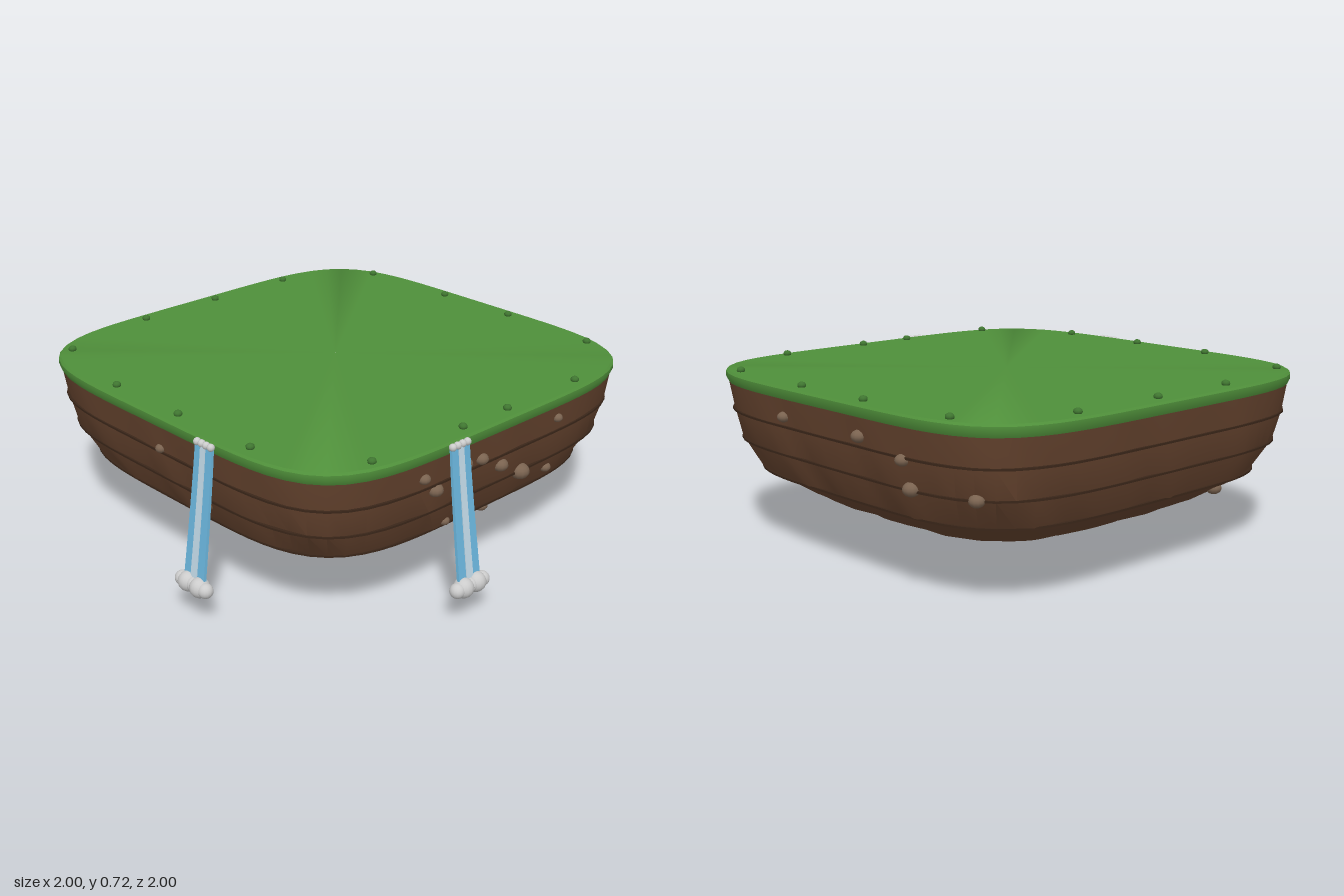
import * as THREE from 'three';
import { toCreasedNormals } from 'three/addons/utils/BufferGeometryUtils.js';

const CENTRE = -0.065; // the island's middle on both x and z
const SEGMENTS = 96;

const mat = (color) => new THREE.MeshStandardMaterial({ color });
const grassMat = mat(0x4f8f3a), tuftMat = mat(0x3f7530), seamMat = mat(0x3a2619);
const soilMat = mat(0x65432e), rockMat = mat(0x7a6350);
const waterMat = mat(0x6cb8e0), streakMat = mat(0xc4dcea), foamMat = mat(0xd8d8d8);

// Soil profile from top to bottom: height, half width, squareness
const PROFILE = [
  [0.66, 0.925, 5], [0.54, 0.908, 5], [0.42, 0.885, 4.8], [0.3, 0.83, 4.4],
  [0.2, 0.68, 3.8], [0.1, 0.425, 3], [0.005, 0.06, 2.2],
];

// Half width and squareness of the soil at a height
function soilAt(y) {
  const i = Math.max(1, PROFILE.findIndex((p) => p[0] <= y));
  const [a, b] = [PROFILE[i - 1], PROFILE[i]];
  const t = (a[0] - y) / (a[0] - b[0]);
  return [1, 2].map((k) => THREE.MathUtils.lerp(a[k], b[k], t));
}

// Skin over rounded-square rings, listed top to bottom; wobble roughens the outline
function loft(rings, wobble = 0, crease = 0.5) {
  const pos = [], index = [];
  rings.forEach(([y, r, n], i) => {
    for (let j = 0; j < SEGMENTS; j++) {
      const a = (j / SEGMENTS) * Math.PI * 2, c = Math.cos(a), s = Math.sin(a);
      const rough = 1 + wobble * i * (Math.sin(a * 16 + i) + 0.5 * Math.sin(a * 27 + i * 2));
      const d = r * rough / Math.pow(Math.abs(c) ** n + Math.abs(s) ** n, 1 / n);
      pos.push(c * d + CENTRE, y, s * d + CENTRE);
      if (i === rings.length - 1) continue;
      const k = (j + 1) % SEGMENTS, u = i * SEGMENTS, l = u + SEGMENTS;
      index.push(u + j, u + k, l + j, u + k, l + k, l + j);
    }
  });
  const geo = new THREE.BufferGeometry();
  geo.setAttribute('position', new THREE.Float32BufferAttribute(pos, 3));
  geo.setIndex(index);
  return toCreasedNormals(geo, crease);
}

function add(parent, name, geo, material, x = 0, y = 0, z = 0) {
  const mesh = new THREE.Mesh(geo, material);
  mesh.name = name;
  mesh.position.set(x, y, z);
  parent.add(mesh);
  return mesh;
}

// Thin falling sheet that widens and drifts outward on its way down
function sheet(topWidth, bottomWidth, thickness, out) {
  const geo = new THREE.BoxGeometry(1, 1, thickness, 1, 10, 1);
  const p = geo.attributes.position;
  for (let i = 0; i < p.count; i++) {
    const t = 0.5 - p.getY(i);
    p.setXYZ(i, p.getX(i) * THREE.MathUtils.lerp(topWidth, bottomWidth, t),
      0.685 - 0.54 * t, p.getZ(i) + 0.88 + out + 0.072 * t ** 1.1);
  }
  geo.computeVertexNormals();
  return geo;
}

function waterfall(name, x) {
  const group = new THREE.Group();
  group.name = name;
  add(group, 'waterSheet', sheet(0.095, 0.115, 0.012, 0), waterMat, x);
  add(group, 'waterStreak', sheet(0.028, 0.036, 0.008, 0.005), streakMat, x);
  // Small drops along the lip
  for (let i = 0; i < 4; i++) {
    add(group, 'lipFoam', new THREE.SphereGeometry(0.015, 12, 8), foamMat, x - 0.039 + i * 0.026, 0.688, 0.882);
  }
  // Splash at the foot
  for (let i = 0; i < 5; i++) {
    const r = i % 2 ? 0.04 : 0.03;
    add(group, 'splashFoam', new THREE.SphereGeometry(r, 16, 12), foamMat, x + (i - 2) * 0.034, 0.14, 0.956);
  }
  return group;
}

export function createModel() {
  const model = new THREE.Group();
  model.name = 'floatingIsland';

  // Flat grass slab with a slightly rounded rim
  add(model, 'grassTop', loft([
    [0.7, 0.001, 5], [0.7, 0.925, 5], [0.692, 0.933, 5], [0.675, 0.934, 5],
    [0.652, 0.925, 5], [0.652, 0.9, 5],
  ], 0, 0.7), grassMat);

  // Layered soil tapering to a blunt tip
  add(model, 'soil', loft([...PROFILE, [0, 0.001, 2]], 0.0022, 0.35), soilMat);

  // Thin dark seams between the upper layers
  for (const [y, r, n] of PROFILE.slice(1, 4)) {
    add(model, 'soilSeam', loft([
      [y + 0.005, r - 0.01, n], [y + 0.004, r + 0.007, n],
      [y - 0.004, r + 0.007, n], [y - 0.006, r - 0.02, n],
    ]), seamMat);
  }

  // Tufts around the rim: x, z
  const tufts = [
    [-0.7, -0.92], [-0.25, -0.94], [0.13, -0.94], [0.58, -0.92], [0.81, -0.54],
    [0.81, -0.13], [0.81, 0.12], [0.79, 0.57], [0.41, 0.8], [0, 0.805],
    [-0.39, 0.805], [-0.84, 0.71], [-0.935, 0.26], [-0.935, -0.13], [-0.93, -0.54],
  ];
  for (const [x, z] of tufts) {
    add(model, 'grassTuft', new THREE.SphereGeometry(0.017, 10, 8), tuftMat, x, 0.707, z).scale.y = 0.8;
  }

  // Stones half buried in each side: position along the side, height, radius
  const stones = {
    left: [
      [0.36, 0.585, 0.025], [0.29, 0.515, 0.032], [0.14, 0.575, 0.028], [0.05, 0.565, 0.028],
      [-0.075, 0.495, 0.032], [-0.215, 0.417, 0.04], [-0.39, 0.6, 0.022], [-0.1, 0.275, 0.028],
      [-0.41, 0.36, 0.025], [0.155, 0.445, 0.028], [0.165, 0.32, 0.022],
    ],
    front: [[-0.065, 0.555, 0.022], [0.145, 0.38, 0.033], [-0.82, 0.26, 0.032], [-0.77, 0.285, 0.02]],
    back: [[0.2, 0.58, 0.026], [-0.27, 0.58, 0.03], [-0.5, 0.53, 0.028], [-0.52, 0.425, 0.034], [-0.78, 0.42, 0.03]],
  };
  for (const [side, list] of Object.entries(stones)) {
    for (const [along, y, size] of list) {
      const [r, n] = soilAt(y);
      const u = Math.min(1, Math.abs(along - CENTRE) / r);
      const depth = r * Math.pow(1 - u ** n, 1 / n);
      const at = CENTRE + (side === 'back' ? -depth : depth);
      const stone = side === 'left'
        ? add(model, 'stone', new THREE.SphereGeometry(size, 12, 8), rockMat, at, y, along)
        : add(model, 'stone', new THREE.SphereGeometry(size, 12, 8), rockMat, along, y, at);
      stone.scale.y = 0.8;
    }
  }

  // Two waterfalls, one over the front and one over the left side
  model.add(waterfall('frontWaterfall', 0.25));
  const sideFall = waterfall('leftWaterfall', -0.215);
  sideFall.rotation.y = Math.PI / 2;
  model.add(sideFall);

  return model;
}
